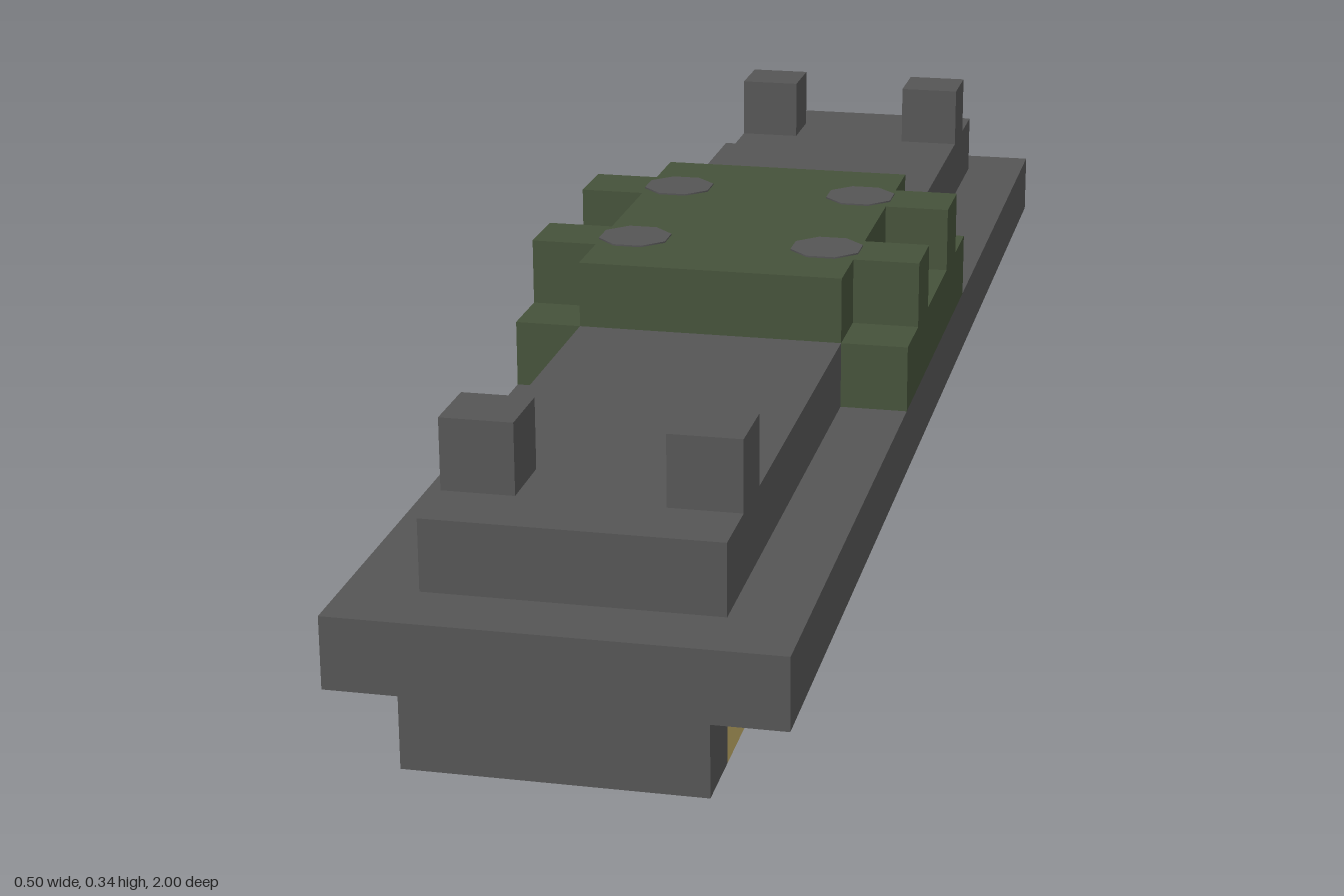
import * as THREE from 'three';

const U = 1 / 12; // block size everything is built on

function material(name, color) {
  const m = new THREE.MeshStandardMaterial({ color });
  m.name = name;
  return m;
}

export function createModel() {
  const model = new THREE.Group();
  model.name = 'steppedPlatform';
  const grey = material('dark grey', 0x555555);
  const green = material('dark green', 0x45523a);
  const beige = material('beige', 0xc1b59a);
  const gold = material('gold', 0xbfaa66);

  const add = (name, geometry, mat) => {
    const mesh = new THREE.Mesh(geometry, mat);
    mesh.name = name;
    model.add(mesh);
    return mesh;
  };
  // Box from its lower and upper corners, in block units
  const box = (name, mat, x0, x1, y0, y1, z0, z1) =>
    add(name, new THREE.BoxGeometry((x1 - x0) * U, (y1 - y0) * U, (z1 - z0) * U), mat)
      .position.set((x0 + x1) / 2 * U, (y0 + y1) / 2 * U, (z0 + z1) / 2 * U);
  // Floor outline extruded up by one block
  const inlay = (name, points, mat) => {
    const shape = new THREE.Shape(points.map(([x, z]) => new THREE.Vector2(x, z)));
    const geometry = new THREE.ExtrudeGeometry(shape, { depth: U, bevelEnabled: false });
    return add(name, geometry.rotateX(-Math.PI / 2), mat);
  };

  // Underside core: beige middle with rounded tongues reaching into gold ends
  const W = 2 * U, END = 11 * U;
  const tongue = [
    [W, 0.66], [0.12, 0.66], [0.095, 0.69], [0.09, 0.75], [0.065, 0.8], [0.035, 0.825],
    [-0.035, 0.825], [-0.065, 0.8], [-0.09, 0.75], [-0.095, 0.69], [-0.12, 0.66], [-W, 0.66],
  ];
  inlay('coreMiddle', [...tongue, ...tongue.map(([x, z]) => [-x, -z])], beige);
  for (const turn of [0, Math.PI]) {
    inlay('coreEnd', [...tongue, [-W, END], [W, END]].reverse(), gold).rotation.y = turn;
  }

  // Grey body
  box('baseFrontEnd', grey, -2, 2, 0, 1, 11, 12);
  box('baseBackEnd', grey, -2, 2, 0, 1, -12, -11);
  box('slab', grey, -3, 3, 1, 2, -12, 12);
  box('deck', grey, -2, 2, 2, 3, -11, 11);

  // Green saddle over the middle of the deck
  box('saddleTop', green, -2, 2, 3, 4, -3, 3);
  for (const sx of [-1, 1]) {
    box('saddleSide', green, sx * 2.5 - 0.5, sx * 2.5 + 0.5, 2, 3, -3, 3);
    for (const sz of [-1, 1]) {
      box('saddleTab', green, sx * 2.5 - 0.5, sx * 2.5 + 0.5, 3, 4, sz * 1.5 - 0.5, sz * 1.5 + 0.5);
      box('cornerPeg', grey, sx * 1.5 - 0.5, sx * 1.5 + 0.5, 3, 4, sz * 9.5 - 0.5, sz * 9.5 + 0.5);
      // Round painted spot
      const spot = new THREE.CylinderGeometry(0.047, 0.047, 0.004, 8).rotateY(Math.PI / 8);
      add('saddleSpot', spot, grey).position.set(sx * 1.5 * U, 4 * U, sz * 1.5 * U);
    }
  }
  return model;
}
